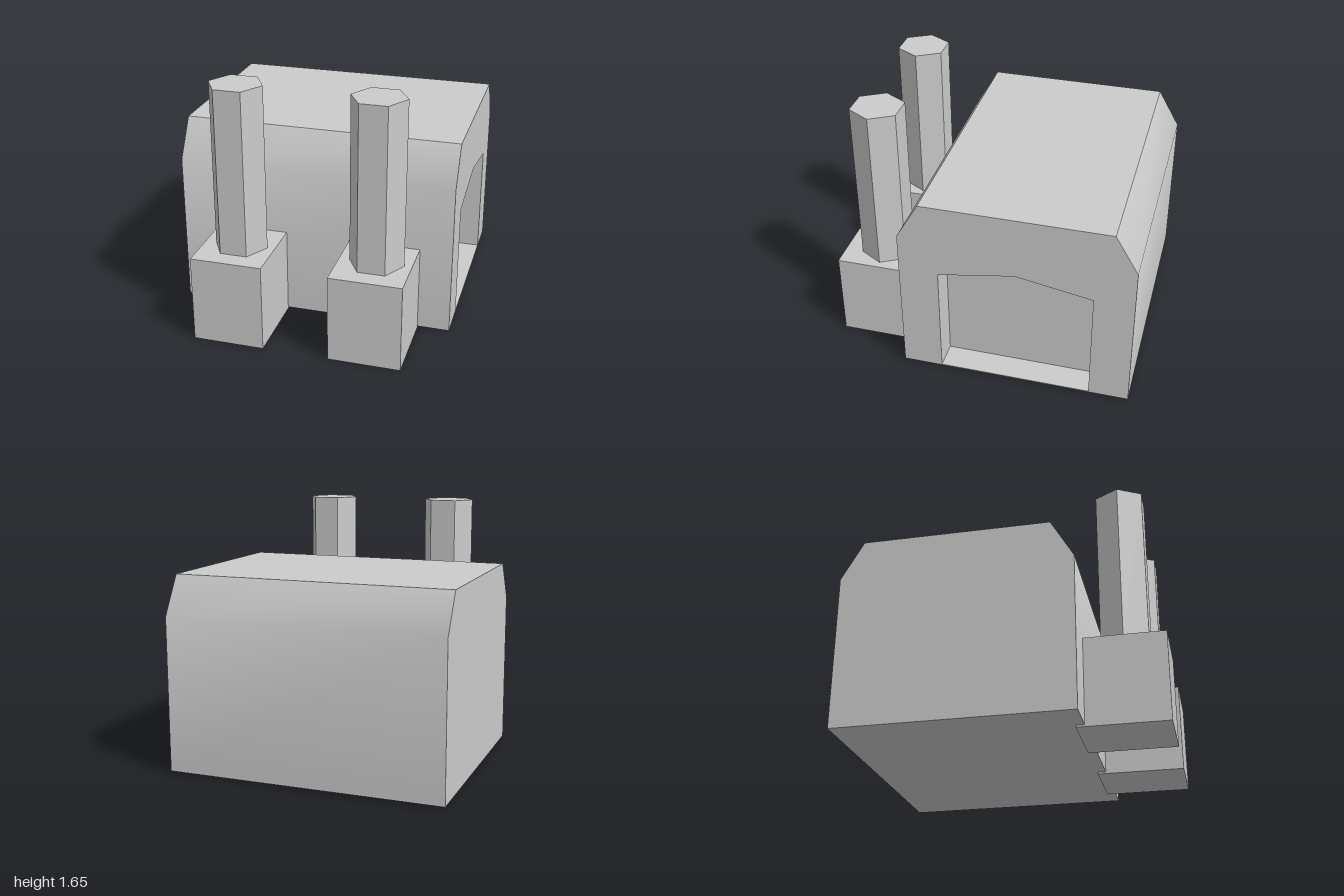
import * as THREE from 'three';
import { mergeGeometries, toCreasedNormals } from 'three/addons/utils/BufferGeometryUtils.js';

const HALF_W = 0.905, NICHE_X = 0.725;
// Side profiles as [z, y]; the shape's x axis is -z
const BODY = [[0.49, 0.012], [-1, 0.012], [-1, 1.01], [-0.855, 1.26], [0.345, 1.26], [0.49, 1.01]];
const NICHE = [[0.235, 0.018], [-0.745, 0.018], [-0.745, 0.765], [-0.255, 0.85], [0.235, 0.765]];

const outline = (pts) => pts.map(([z, y]) => new THREE.Vector2(-z, y));

// Reverse the winding of a non-indexed geometry
function flip(geo) {
  const p = geo.attributes.position, a = new THREE.Vector3(), b = new THREE.Vector3();
  for (let i = 0; i < p.count; i += 3) {
    a.fromBufferAttribute(p, i);
    b.fromBufferAttribute(p, i + 1);
    p.setXYZ(i, b.x, b.y, b.z);
    p.setXYZ(i + 1, a.x, a.y, a.z);
  }
  return geo;
}

// Keep only positions, turned so the profile lies across x
function place(positions, x) {
  const geo = new THREE.BufferGeometry();
  geo.setAttribute('position', new THREE.Float32BufferAttribute(positions, 3));
  return geo.rotateY(Math.PI / 2).translate(x, 0, 0);
}

// Open tube of walls along a profile from x0 to x1
function walls(pts, x0, x1) {
  const geo = new THREE.ExtrudeGeometry(new THREE.Shape(outline(pts)), { depth: x1 - x0, bevelEnabled: false });
  const { start, count } = geo.groups[1];
  return place(geo.attributes.position.array.slice(start * 3, (start + count) * 3), x0);
}

// Flat panel facing +x
function panel(pts, x, hole) {
  const shape = new THREE.Shape(outline(pts));
  if (hole) shape.holes.push(new THREE.Path(outline(hole)));
  return place(new THREE.ShapeGeometry(shape).toNonIndexed().attributes.position.array, x);
}

export function createModel() {
  const group = new THREE.Group();
  const smooth = new THREE.MeshStandardMaterial({ color: 0xcccccc });
  const flat = new THREE.MeshStandardMaterial({ color: 0xcccccc, flatShading: true });
  const add = (name, geo, mat, x = 0, y = 0, z = 0) => {
    const mesh = new THREE.Mesh(geo, mat);
    mesh.name = name;
    mesh.position.set(x, y, z);
    group.add(mesh);
  };

  // Main building with a shallow gabled recess in its left side
  const body = mergeGeometries([
    walls(BODY, -HALF_W, HALF_W),
    flip(panel(BODY, -HALF_W)),
    panel(BODY, HALF_W, NICHE),
    flip(walls(NICHE, NICHE_X, HALF_W)),
    panel(NICHE, NICHE_X),
  ]);
  // Bevels blend into the walls, the roof edges stay sharp
  add('building', toCreasedNormals(body, THREE.MathUtils.degToRad(40)), smooth);

  // Two chimney stacks on square bases at the front
  for (const [side, baseX, stackX] of [['right', -0.422, -0.413], ['left', 0.465, 0.474]]) {
    add(side + 'ChimneyBase', new THREE.BoxGeometry(0.463, 0.573, 0.563), flat, baseX, 0.2865, 0.7185);
    add(side + 'Chimney', new THREE.CylinderGeometry(0.174, 0.174, 1.085, 6, 1, false, Math.PI / 2), flat, stackX, 1.1125, 0.73);
  }
  return group;
}
